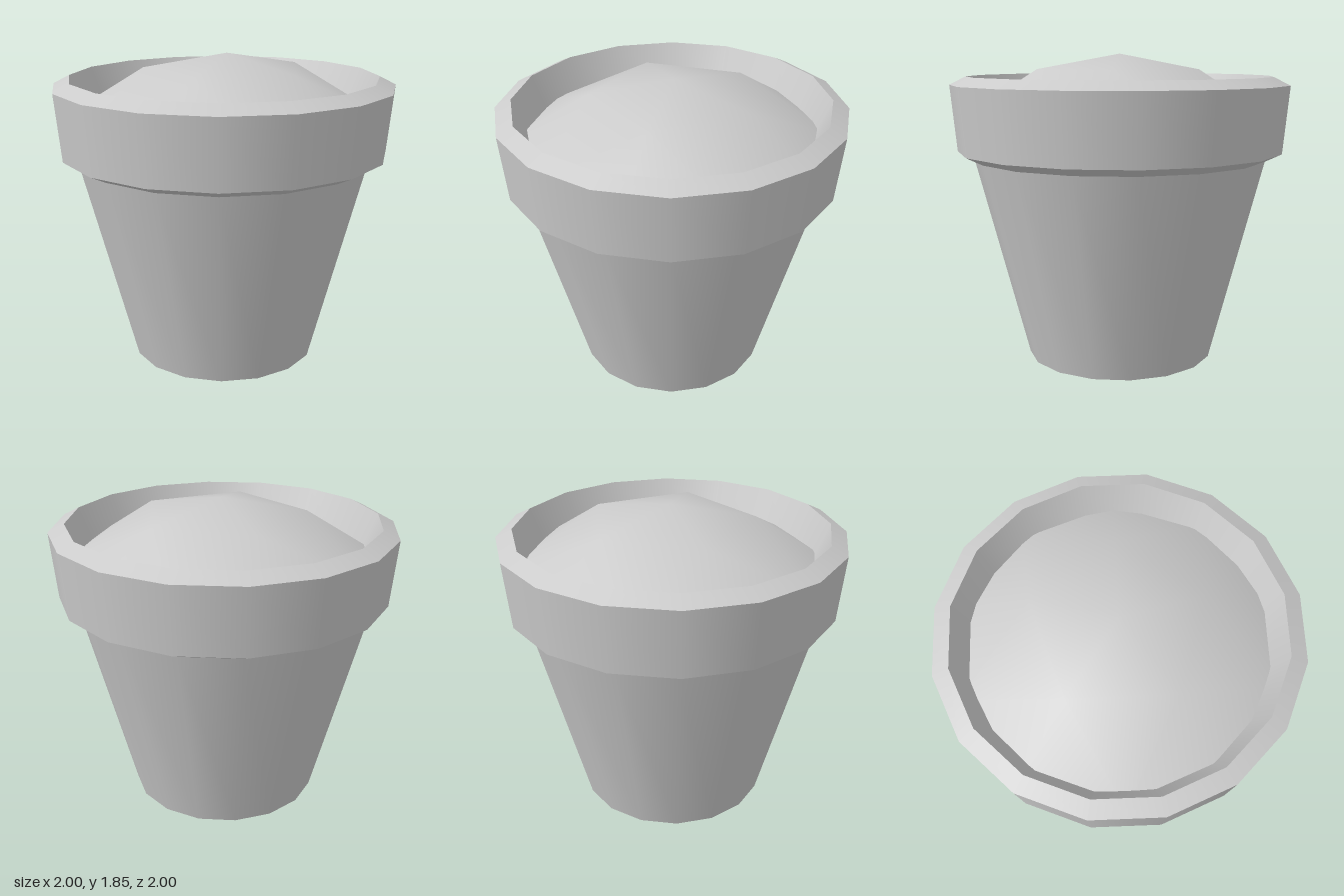
import * as THREE from 'three';
import { mergeGeometries } from 'three/addons/utils/BufferGeometryUtils.js';

const SIDES = 16;
const TURN = Math.PI / SIDES; // half a side, so flat sides face the axes

// Sharp-edged turned shape: one smooth band per profile segment.
// Profile radii are measured to the middle of a side.
function turned(profile) {
  const points = profile.map(([r, y]) => new THREE.Vector2(r / Math.cos(TURN), y));
  const bands = points.slice(1).map((p, i) =>
    new THREE.LatheGeometry([points[i], p], SIDES, TURN));
  return mergeGeometries(bands);
}

// Low dome: a peak, a five-sided ring and a ten-sided ring sunk into the wall.
function dome() {
  const pos = [0.02, 1.85, 0];
  const ring = (n, r, y, cx) => {
    for (let i = 0; i < n; i++) {
      const a = (i / n) * Math.PI * 2;
      pos.push(cx + r * Math.cos(a), y, r * Math.sin(a));
    }
  };
  ring(5, 0.5, 1.76, 0.02);
  ring(10, 0.93, 1.49, 0.01);
  const index = [];
  for (let i = 0; i < 5; i++) {
    const a = 1 + i, b = 1 + (i + 1) % 5;
    const o = k => 6 + (2 * i + k + 10) % 10;
    index.push(0, b, a);
    index.push(a, o(1), o(0), a, b, o(1), b, o(2), o(1));
  }
  const geo = new THREE.BufferGeometry();
  geo.setAttribute('position', new THREE.Float32BufferAttribute(pos, 3));
  geo.setIndex(index);
  geo.computeVertexNormals();
  return geo;
}

export function createModel() {
  const group = new THREE.Group();
  const material = new THREE.MeshStandardMaterial({ color: 0xcccccc, side: THREE.DoubleSide });
  const add = (name, geometry) => {
    const mesh = new THREE.Mesh(geometry, material);
    mesh.name = name;
    group.add(mesh);
  };

  // Tapered body with a closed base
  add('potBody', turned([[0, 0], [0.557, 0], [0.867, 1.225]]));

  // Thick collar, bevelled lip and sloping inner wall
  add('potRim', turned([
    [0.867, 1.225], [0.963, 1.272], [1, 1.668], [0.905, 1.717], [0.8, 1.47],
  ]));

  // Mounded earth
  add('soil', dome());
  return group;
}
